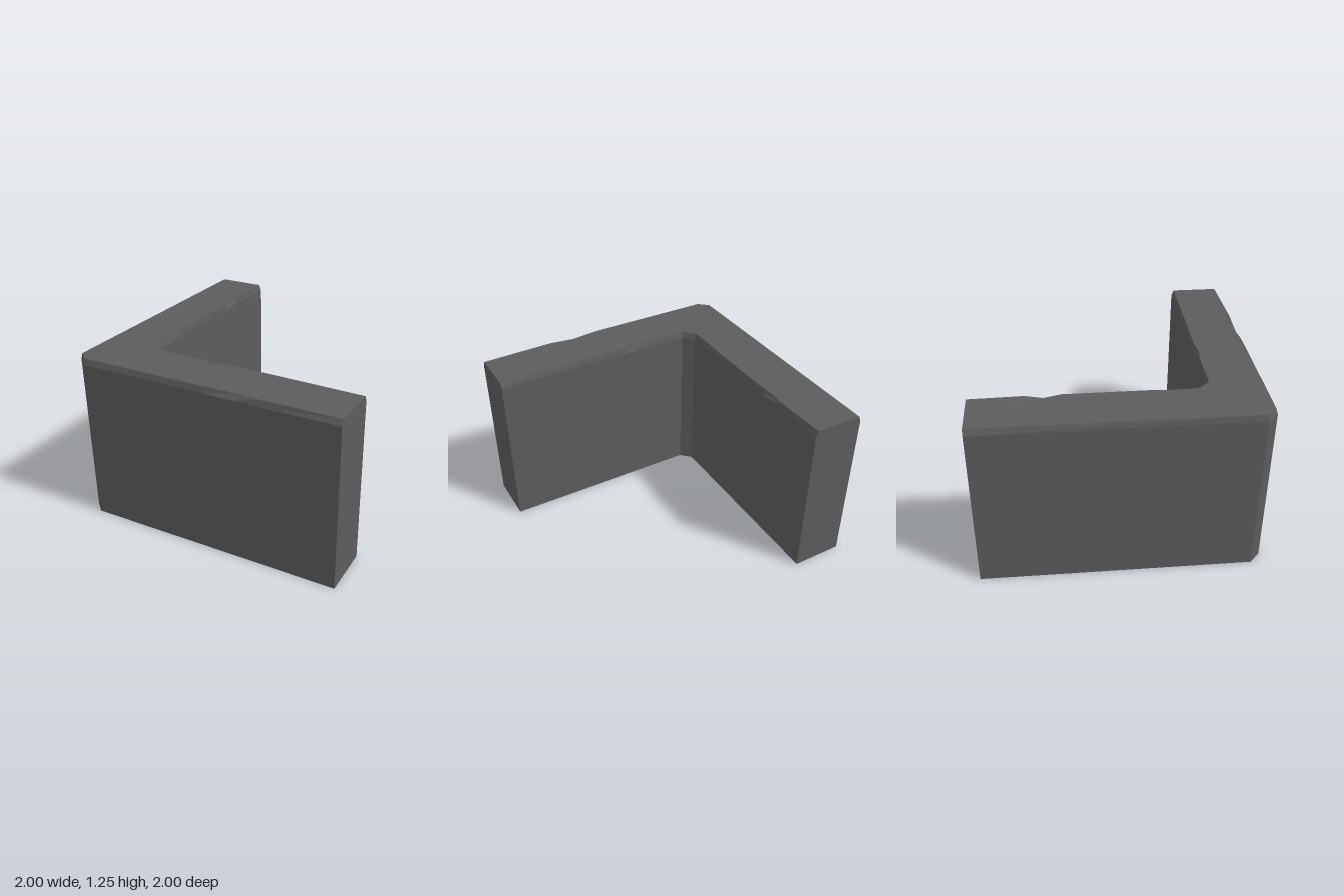
import * as THREE from 'three';

const SHOULDER = 1.2, TOP = 1.245;

// Stations around the L plan, counter-clockwise from above:
// [x, z, rim x, rim z, rim y]; the rim is the worn, bevelled top edge.
const stations = [
  [-1, -1, -0.983, -1],
  [-1, 0.92, -0.99, 0.915],
  [-0.92, 0.995, -0.915, 0.98],
  [0.05, 0.995, 0.05, 0.983],
  [0.27, 0.995, 0.27, 0.965, 1.24], // chip in the front edge
  [0.45, 0.995, 0.45, 0.983],
  [1, 0.995, 1, 0.975, 1.24],
  [1, 0.61, 1, 0.628, 1.24],
  [0.4, 0.61, 0.4, 0.622],
  [0.0, 0.61, 0.0, 0.618],
  [-0.1, 0.61, -0.1, 0.636, 1.24], // chip in the inner edge
  [-0.2, 0.61, -0.2, 0.62],
  [-0.54, 0.61, -0.545, 0.62],
  [-0.615, 0.535, -0.625, 0.54],
  [-0.615, 0.36, -0.631, 0.36],
  [-0.615, 0.2, -0.623, 0.2],
  [-0.615, -0.38, -0.623, -0.38],
  [-0.615, -0.5, -0.643, -0.5, 1.235], // chip in the side wall
  [-0.615, -0.62, -0.623, -0.62],
  [-0.615, -1, -0.632, -1],
];

// Flat-shaded geometry from a list of triangles
function fromTriangles(tris) {
  const g = new THREE.BufferGeometry().setFromPoints(tris.flat());
  g.computeVertexNormals();
  return g;
}

// Bands between two loops of matching length
function band(lower, upper) {
  const tris = [];
  lower.forEach((a, i) => {
    const j = (i + 1) % lower.length;
    tris.push([a, lower[j], upper[j]], [a, upper[j], upper[i]]);
  });
  return tris;
}

function cap(loop, faceDown) {
  const flat = loop.map((p) => new THREE.Vector2(p.x, -p.z));
  return THREE.ShapeUtils.triangulateShape(flat, []).map(([a, b, c]) =>
    faceDown ? [loop[a], loop[c], loop[b]] : [loop[a], loop[b], loop[c]]);
}

export function createModel() {
  const group = new THREE.Group();
  group.name = 'cornerWall';
  const stone = new THREE.MeshStandardMaterial({ color: 0x5c5c5c });
  stone.name = 'dark grey stone';

  const loopAt = (y) => stations.map(([x, z]) => new THREE.Vector3(x, y, z));
  const base = loopAt(0);
  const shoulder = loopAt(SHOULDER);
  const rim = stations.map(([, , x, z, y = TOP]) => new THREE.Vector3(x, y, z));

  const add = (name, tris) => {
    const mesh = new THREE.Mesh(fromTriangles(tris), stone);
    mesh.name = name;
    group.add(mesh);
  };

  add('wallFaces', band(base, shoulder));
  add('wornBevel', band(shoulder, rim));
  add('wallTop', cap(rim, false));
  add('wallUnderside', cap(base, true));
  return group;
}
